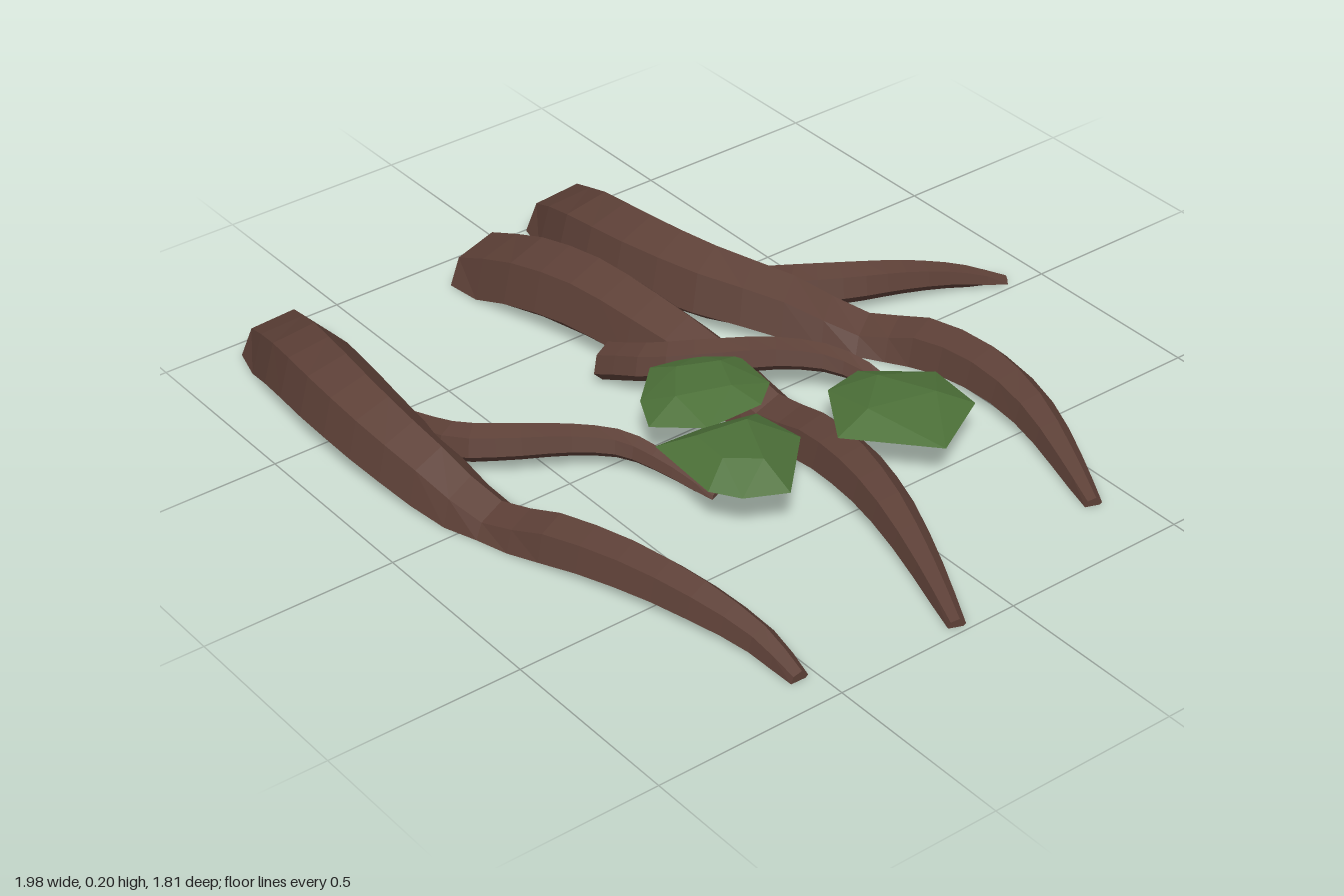
import * as THREE from 'three';
import { ConvexGeometry } from 'three/addons/geometries/ConvexGeometry.js';

const SIDES = 6;
const TWIST = -0.26;

// Six-sided tapering limb through [x, y, z, radius] stations, flattened where it meets the ground
function limbGeometry(stations, steps) {
  const path = new THREE.CatmullRomCurve3(stations.map(([x, y, z]) => new THREE.Vector3(x, y, z)));
  const pos = [], index = [];
  const put = (x, y, z) => pos.push(x, Math.max(0, y), z);
  for (let i = 0; i <= steps; i++) {
    const t = i / steps, k = t * (stations.length - 1);
    const a = Math.min(Math.floor(k), stations.length - 2);
    const r = THREE.MathUtils.lerp(stations[a][3], stations[a + 1][3], k - a);
    const c = path.getPoint(t), d = path.getTangent(t).setY(0).normalize();
    for (let j = 0; j < SIDES; j++) {
      const ang = TWIST + (j / SIDES) * Math.PI * 2;
      const s = Math.cos(ang) * r;
      put(c.x - d.z * s, c.y + Math.sin(ang) * r, c.z + d.x * s);
    }
  }
  for (let i = 0; i < steps; i++) {
    for (let j = 0; j < SIDES; j++) {
      const a = i * SIDES + j, b = i * SIDES + (j + 1) % SIDES;
      index.push(a, a + SIDES, b, a + SIDES, b + SIDES, b);
    }
  }
  // End caps
  const last = steps * SIDES;
  for (let j = 1; j < SIDES - 1; j++) {
    index.push(0, j, j + 1, last, last + j + 1, last + j);
  }
  const indexed = new THREE.BufferGeometry();
  indexed.setAttribute('position', new THREE.Float32BufferAttribute(pos, 3));
  indexed.setIndex(index);
  const geo = indexed.toNonIndexed();
  geo.computeVertexNormals();
  return geo;
}

// Faceted pad: outline at the rim, shrunken copies above and below
function mossGeometry(outline, low, rim, high) {
  const n = outline.length;
  const cx = outline.reduce((s, p) => s + p[0], 0) / n;
  const cz = outline.reduce((s, p) => s + p[1], 0) / n;
  const points = [];
  outline.forEach(([x, z], i) => {
    points.push(new THREE.Vector3(x, rim, z));
    if (i % 2) points.push(new THREE.Vector3(cx + (x - cx) * 0.55, low, cz + (z - cz) * 0.55));
    else points.push(new THREE.Vector3(cx + (x - cx) * 0.5, high, cz + (z - cz) * 0.5));
  });
  points.push(new THREE.Vector3(cx, high, cz));
  return new ConvexGeometry(points);
}

export function createModel() {
  const model = new THREE.Group();
  const bark = new THREE.MeshStandardMaterial({ color: 0x5d4037 });
  bark.name = 'bark brown';
  const moss = new THREE.MeshStandardMaterial({ color: 0x4c7038 });
  moss.name = 'moss green';
  const add = (name, geo, mat) => {
    const mesh = new THREE.Mesh(geo, mat);
    mesh.name = name;
    model.add(mesh);
  };

  // Main roots: a tall hump, a dip, then a low hump running out to the tip
  add('backRoot', limbGeometry([
    [-0.97, -0.01, -0.20, 0.12], [-0.78, 0.07, -0.155, 0.118], [-0.58, 0.095, -0.16, 0.112],
    [-0.38, 0.085, -0.22, 0.104], [-0.2, 0.05, -0.335, 0.094], [-0.04, -0.01, -0.445, 0.082],
    [0.1, 0.025, -0.515, 0.077], [0.3, 0.043, -0.54, 0.07], [0.5, 0.04, -0.515, 0.055],
    [0.68, 0.02, -0.46, 0.038], [0.83, 0, -0.405, 0.022],
  ], 20), bark);
  add('middleRoot', limbGeometry([
    [-0.905, -0.01, 0.11, 0.115], [-0.7, 0.07, 0.095, 0.112], [-0.5, 0.098, 0.062, 0.107],
    [-0.3, 0.085, 0.03, 0.1], [-0.1, 0.05, -0.01, 0.09], [0.09, -0.01, -0.04, 0.08],
    [0.25, 0.025, -0.045, 0.075], [0.42, 0.043, -0.025, 0.068], [0.6, 0.04, 0.015, 0.055],
    [0.8, 0.02, 0.08, 0.038], [0.98, 0, 0.15, 0.022],
  ], 20), bark);
  add('frontRoot', limbGeometry([
    [-0.92, -0.01, 0.705, 0.115], [-0.73, 0.07, 0.76, 0.112], [-0.53, 0.1, 0.795, 0.108],
    [-0.34, 0.085, 0.798, 0.1], [-0.15, 0.045, 0.775, 0.09], [0.03, -0.015, 0.73, 0.076],
    [0.2, 0.03, 0.683, 0.072], [0.4, 0.045, 0.622, 0.066], [0.6, 0.04, 0.573, 0.055],
    [0.77, 0.02, 0.54, 0.04], [0.91, 0, 0.545, 0.024],
  ], 20), bark);

  // Side branches
  add('backBranch', limbGeometry([
    [-0.37, 0.04, -0.33, 0.055], [-0.25, 0.07, -0.41, 0.06], [-0.175, 0.075, -0.53, 0.053],
    [-0.13, 0.065, -0.65, 0.044], [-0.085, 0.035, -0.79, 0.032], [-0.03, 0, -0.905, 0.016],
  ], 12), bark);
  add('middleBranch', limbGeometry([
    [-0.31, 0.05, 0.165, 0.05], [-0.18, 0.095, 0.12, 0.05], [-0.08, 0.115, 0.01, 0.048],
    [0.0, 0.115, -0.12, 0.042], [0.09, 0.1, -0.225, 0.036], [0.2, 0.065, -0.285, 0.03],
    [0.32, 0, -0.3, 0.016],
  ], 14), bark);
  add('frontBranch', limbGeometry([
    [-0.36, 0.05, 0.7, 0.045], [-0.21, 0.08, 0.67, 0.05], [-0.12, 0.088, 0.575, 0.046],
    [-0.05, 0.08, 0.455, 0.04], [0.03, 0.068, 0.36, 0.035], [0.14, 0.045, 0.31, 0.028],
    [0.255, 0, 0.265, 0.014],
  ], 14), bark);

  // Moss pads
  add('backMoss', mossGeometry([
    [0.18, -0.23], [0.3, -0.375], [0.46, -0.36], [0.56, -0.18], [0.37, -0.01], [0.2, -0.12],
  ], 0.085, 0.112, 0.147), moss);
  add('middleMoss', mossGeometry([
    [-0.12, 0.17], [-0.09, 0.04], [-0.03, -0.03], [0.11, -0.015], [0.17, 0.06],
    [0.17, 0.22], [0.08, 0.325], [-0.02, 0.275],
  ], 0.09, 0.13, 0.165), moss);
  add('frontMoss', mossGeometry([
    [0.15, 0.36], [0.16, 0.22], [0.19, 0.09], [0.33, 0.07], [0.49, 0.23], [0.44, 0.33], [0.37, 0.375],
  ], 0.095, 0.128, 0.175), moss);

  return model;
}
